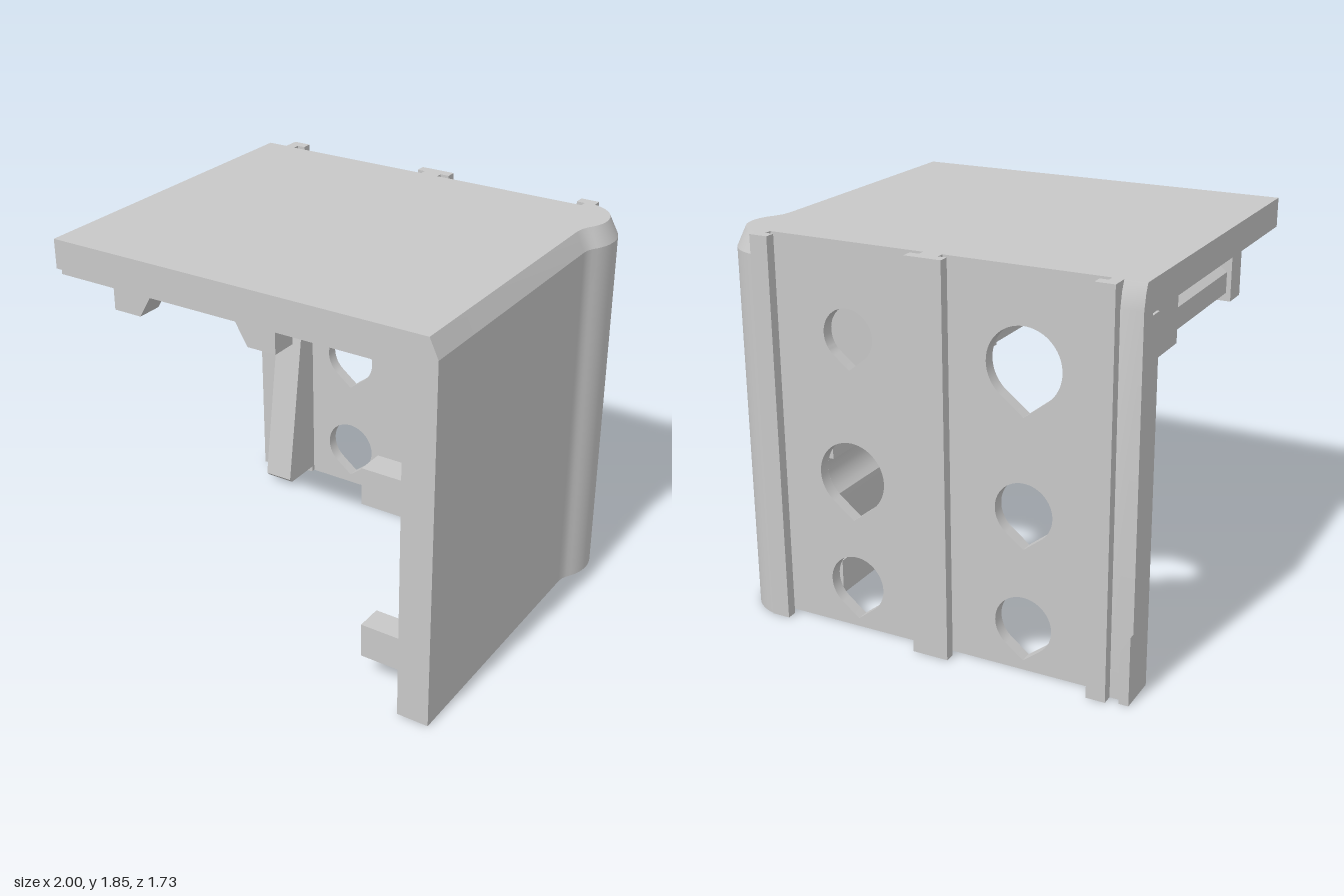
import * as THREE from 'three';
import { toCreasedNormals, mergeGeometries } from 'three/addons/utils/BufferGeometryUtils.js';

const WALL_FRONT = -0.72, WALL_BACK = -0.78;

export function createModel() {
  const model = new THREE.Group();
  const grey = new THREE.MeshStandardMaterial({ color: 0xc8c8c8 });
  grey.name = 'plain grey';

  const add = (name, geometry) => {
    const mesh = new THREE.Mesh(toCreasedNormals(geometry, 0.6), grey);
    mesh.name = name;
    model.add(mesh);
    return mesh;
  };
  const box = (name, x0, x1, y0, y1, z0, z1) => {
    const g = new THREE.BoxGeometry(x1 - x0, y1 - y0, z1 - z0);
    g.translate((x0 + x1) / 2, (y0 + y1) / 2, (z0 + z1) / 2);
    return add(name, g);
  };
  const poly = (pts) => new THREE.Shape(pts.map(([a, b]) => new THREE.Vector2(a, b)));
  const extrude = (shape, depth) =>
    new THREE.ExtrudeGeometry(shape, { depth, bevelEnabled: false, curveSegments: 28 });
  // Front outline (x, y) pushed along z
  const alongZ = (name, shape, z0, z1) => add(name, extrude(shape, z1 - z0).translate(0, 0, z0));
  // Plan outline (x, z) pushed along y
  const alongY = (pts, y0, y1) =>
    extrude(poly(pts.map(([x, z]) => [x, -z])), y1 - y0).rotateX(-Math.PI / 2).translate(0, y0, 0);
  // Side outline (z, y) pushed along x
  const alongX = (name, pts, x0, x1) =>
    add(name, extrude(poly(pts.map(([z, y]) => [-z, y])), x1 - x0).rotateY(Math.PI / 2).translate(x0, 0, 0));

  // Top plate
  const plate = poly([[-1, 1.71], [-0.97, 1.71], [-0.97, 1.69], [0.8, 1.69], [0.8, 1.85], [-1, 1.85]]);
  alongZ('topPlate', plate, WALL_BACK, 0.86);

  // Back wall with teardrop holes pointing down
  const wall = poly([[-1, 0], [0.7, 0], [0.7, 1.72], [-1, 1.72]]);
  const holes = [
    [-0.465, 1.42, 0.176], [0.39, 1.425, 0.125], [-0.466, 0.762, 0.137],
    [0.397, 0.753, 0.168], [-0.466, 0.22, 0.137], [0.39, 0.217, 0.139],
  ];
  for (const [x, y, r] of holes) {
    const hole = new THREE.Path();
    const a = -Math.PI / 2 + Math.acos(1 / 1.27);
    hole.moveTo(x, y - r * 1.27);
    hole.lineTo(x + r * Math.cos(a), y + r * Math.sin(a));
    hole.absarc(x, y, r, a, Math.PI - a, false);
    hole.closePath();
    wall.holes.push(hole);
  }
  alongZ('backWall', wall, WALL_BACK, WALL_FRONT);

  // Side wall: flat outside, round bulge at the back, hooked end
  const outer = [[0.94, 0.86], [0.94, -0.45], [0.944, -0.485], [0.955, -0.51]];
  for (let i = 0; i <= 16; i++) {
    const a = THREE.MathUtils.lerp(-0.55, 1.39, i / 16);
    outer.push([0.78 + 0.22 * Math.cos(a), -0.645 - 0.22 * Math.sin(a)]);
  }
  const inner = [
    [0.73, -0.861], [0.73, -0.815], [0.77, -0.815], [0.77, WALL_BACK], [0.63, WALL_BACK],
    [0.63, -0.66], [0.705, -0.66],
  ];
  for (let i = 1; i <= 6; i++) {
    const a = (i / 6) * Math.PI / 2;
    inner.push([0.705 + 0.08 * Math.sin(a), -0.58 - 0.08 * Math.cos(a)]);
  }
  inner.push([0.785, 0.86]);
  const profile = [...outer, ...inner];
  add('sideWall', alongY(profile, 0, 1.76));

  // Upper rim of the side wall, drawn in along the outside
  const rim = alongY(profile, 1.76, 1.85);
  const pos = rim.attributes.position;
  for (let i = 0; i < pos.count; i++) {
    if (pos.getY(i) < 1.8) continue;
    const x = pos.getX(i), z = pos.getZ(i);
    const k = outer.findIndex(([a, b]) => Math.hypot(a - x, b - z) < 1e-4);
    if (k < 0) continue;
    const p = outer[Math.max(k - 1, 0)], n = outer[Math.min(k + 1, outer.length - 1)];
    const dx = n[0] - p[0], dz = n[1] - p[1], s = 0.042 / Math.hypot(dx, dz);
    pos.setX(i, x + dz * s);
    pos.setZ(i, z - dx * s);
  }
  add('sideWallRim', rim);

  // Rails on the back
  box('middleRailStem', -0.09, 0, 0, 1.85, -0.82, WALL_BACK + 0.01);
  box('middleRailHead', -0.13, 0.045, 0, 1.85, -0.865, -0.815);
  box('edgeRailStem', -0.9, -0.85, 0, 1.85, -0.82, WALL_BACK + 0.01);
  box('edgeRailHead', -0.9, -0.81, 0, 1.85, -0.865, -0.815);
  box('hookRailHead', 0.73, 0.82, 0, 1.85, -0.865, -0.815);
  const strip = [[-0.77, 0], [-0.77, 1.85], [-0.782, 1.85], [-0.8, 1.81], [-0.815, 1.74], [-0.815, 0]];
  alongX('edgeStrip', strip, -1, -0.9);
  alongZ('edgeTab', poly([[-1, 0], [-0.955, 0], [-0.955, 0.25], [-1, 0.33]]), -0.845, -0.815);

  // Thick edge of the back wall and its tapering wedge
  const edge = [[-1, WALL_FRONT], [-1, -0.65], [-0.88, -0.655], [-0.71, -0.7], [-0.71, WALL_FRONT]];
  add('wallEdge', alongY(edge, 0, 1.7));
  alongX('wedge', [[-0.71, 0.03], [-0.5, 0.03], [-0.48, 0.05], [-0.7, 1.42], [-0.71, 1.42]], -0.865, -0.71);

  // Arched saddles under the plate, around the upper holes
  const saddle = (name, cx, cy, left, right, bottom, r, z0, z1) => {
    const a = Math.asin((bottom - cy) / r);
    const s = new THREE.Shape();
    s.moveTo(left, 1.69);
    s.lineTo(left, bottom);
    s.lineTo(cx - r * Math.cos(a), bottom);
    s.absarc(cx, cy, r, Math.PI - a, a, true);
    s.lineTo(right, bottom);
    s.lineTo(right, 1.69);
    s.closePath();
    alongZ(name, s, z0, z1);
  };
  saddle('largeSaddle', -0.467, 1.43, -0.92, -0.015, 1.43, 0.238, WALL_FRONT, -0.23);
  saddle('largeCollar', -0.467, 1.43, -0.8, -0.14, 1.43, 0.222, WALL_FRONT, -0.6);
  saddle('smallSaddle', 0.39, 1.425, 0.13, 0.645, 1.55, 0.195, WALL_FRONT, -0.5);

  // Front feet and long bars under the plate, mirrored about the large saddle
  for (const side of [-1, 1]) {
    const X = (d) => -0.4675 + side * d;
    const foot = [[X(0.4525), 1.69], [X(0.4525), 1.43], [X(0.3025), 1.43], [X(0.15), 1.69]];
    const bar = [[X(0.34), 1.69], [X(0.34), 1.64], [X(0.43), 1.57], [X(0.43), 1.47], [X(0.31), 1.47], [X(0.28), 1.69]];
    alongZ('plateFoot', poly(foot), 0.46, 0.59);
    alongZ('plateBar', poly(bar), -0.24, 0.47);
  }

  // Bracket on the inside of the side wall
  for (const [y0, y1] of [[0.115, 0.285], [0.915, 1.09]]) {
    box('sideFrontBlock', 0.51, 0.79, y0, y1, 0.59, 0.72);
    box('sideBackBlock', 0.51, 0.79, y0, y1, WALL_FRONT, -0.1);
    box('sideBar', 0.7, 0.79, y0 + 0.03, y1 - 0.03, -0.11, 0.6);
  }
  alongZ('sideSlope', poly([[0.51, 1.09], [0.79, 1.09], [0.79, 1.37]]), WALL_FRONT, -0.1);
  box('sideBackPad', 0.73, 0.79, 0.285, 0.915, WALL_FRONT, -0.3);

  // Rollers with end pins, kept clear of the wide hole
  for (const [y, left] of [[0.35, 0.51], [0.857, 0.535]]) {
    for (const [name, r, x0, x1] of [['roller', 0.06, left, 0.705], ['rollerPin', 0.045, 0.7, 0.735]]) {
      const g = new THREE.CylinderGeometry(r, r, x1 - x0, 24).rotateZ(Math.PI / 2);
      add(name, g.translate((x0 + x1) / 2, y, -0.22));
    }
    box('rollerMount', left, 0.7, y - 0.06, y + 0.06, WALL_FRONT, -0.22);
  }

  // Rounded cradle between the rollers, cut on the left by the wide hole
  const [hx, hy, hr] = holes[3];
  const bow = (y) => Math.sin((Math.PI * (y - 0.41)) / 0.39);
  const cutX = (y) => Math.max(0.51, hx + Math.sqrt(Math.max(0, hr * hr - (y - hy) ** 2)));
  const endX = (y) => 0.705 + 0.025 * bow(y);
  const slices = [];
  for (let i = 0; i < 16; i++) {
    const y0 = 0.41 + (0.39 * i) / 16, y1 = 0.41 + (0.39 * (i + 1)) / 16;
    const g = extrude(poly([[cutX(y0), y0], [endX(y0), y0], [endX(y1), y1], [cutX(y1), y1]]), 0.47);
    g.translate(0, 0, WALL_FRONT);
    const p = g.attributes.position;
    for (let v = 0; v < p.count; v++) {
      if (p.getZ(v) > -0.5) p.setZ(v, -0.25 + 0.07 * bow(p.getY(v)));
    }
    slices.push(g);
  }
  add('cradle', mergeGeometries(slices));

  return model;
}
